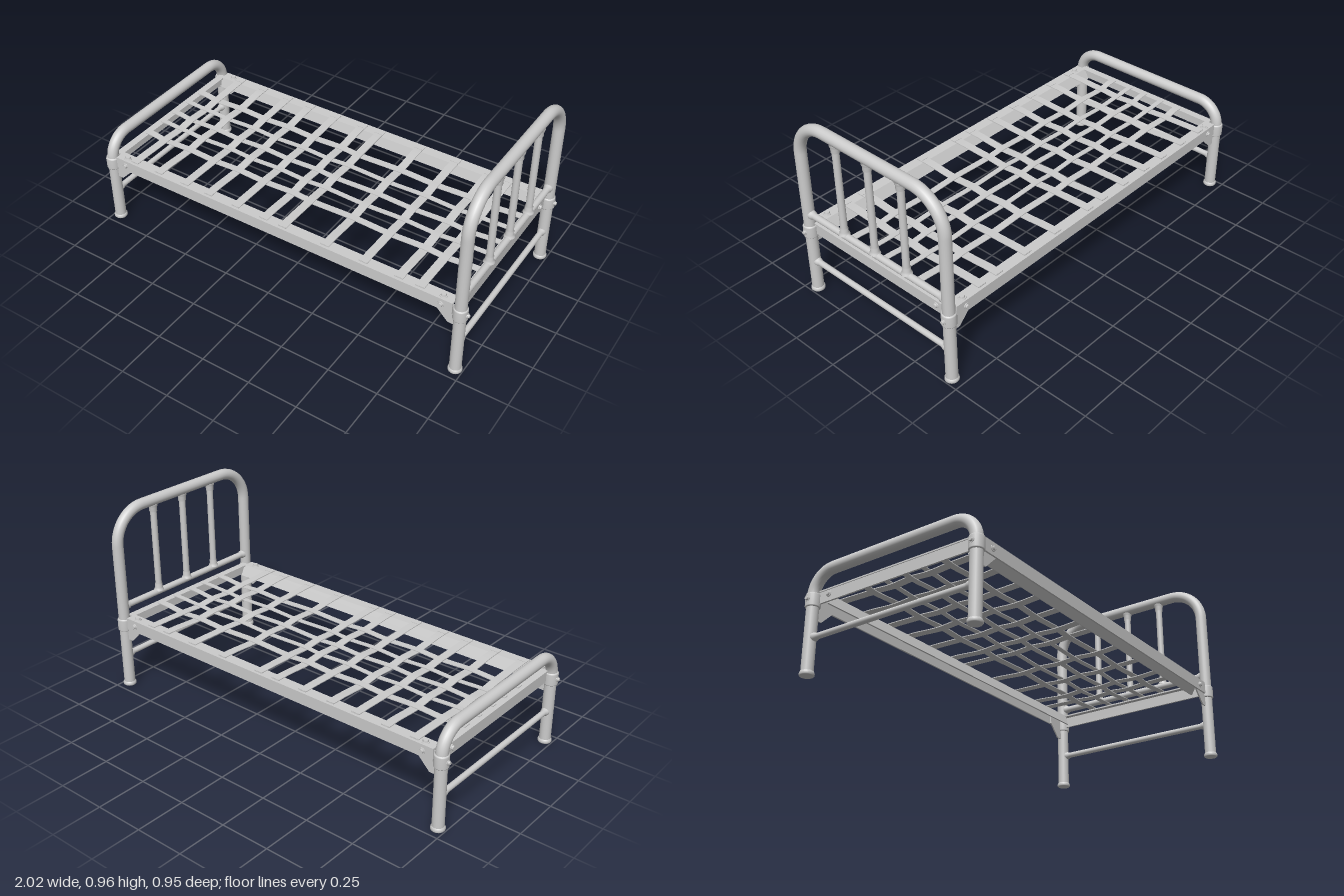
import * as THREE from 'three';

const mat = new THREE.MeshStandardMaterial({ color: 0xcccccc, side: THREE.DoubleSide });
const END_X = 0.965, POST_Z = 0.443, TUBE_R = 0.028;

function add(parent, name, geo, x = 0, y = 0, z = 0) {
  const mesh = new THREE.Mesh(geo, mat);
  mesh.name = name;
  mesh.position.set(x, y, z);
  parent.add(mesh);
  return mesh;
}

const box = (w, h, d) => new THREE.BoxGeometry(w, h, d);
const lathe = (pts, n = 24) => new THREE.LatheGeometry(pts.map(p => new THREE.Vector2(...p)), n);

// Hexagonal bolt with washer, its axis along +y before rotation
function addBolt(parent, pos, rotX, rotZ, s = 1) {
  const bolt = new THREE.Group();
  bolt.name = 'bolt';
  add(bolt, 'washer', new THREE.CylinderGeometry(0.016 * s, 0.017 * s, 0.004, 20), 0, 0.002, 0);
  add(bolt, 'boltHead', new THREE.CylinderGeometry(0.011 * s, 0.013 * s, 0.009, 6), 0, 0.008, 0);
  bolt.position.set(...pos);
  bolt.rotation.set(rotX, 0, rotZ);
  parent.add(bolt);
}

// Bent tube: two posts joined over the top with rounded corners
function hoop(top, r) {
  const path = new THREE.CurvePath(), k = r * 0.448;
  const v = (y, z) => new THREE.Vector3(0, y, z);
  const Z = POST_Z;
  path.add(new THREE.LineCurve3(v(0.005, Z), v(top - r, Z)));
  path.add(new THREE.CubicBezierCurve3(v(top - r, Z), v(top - k, Z), v(top, Z - k), v(top, Z - r)));
  path.add(new THREE.LineCurve3(v(top, Z - r), v(top, r - Z)));
  path.add(new THREE.CubicBezierCurve3(v(top, r - Z), v(top, k - Z), v(top - k, -Z), v(top - r, -Z)));
  path.add(new THREE.LineCurve3(v(top - r, -Z), v(0.005, -Z)));
  return new THREE.TubeGeometry(path, 160, TUBE_R, 20);
}

// Horizontal tube between the posts, flared where it meets them
function crossBar(r) {
  const L = POST_Z - 0.02;
  const g = lathe([[r + 0.006, -L], [r + 0.005, -L + 0.012], [r, -L + 0.025],
    [r, L - 0.025], [r + 0.005, L - 0.012], [r + 0.006, L]]);
  return g.rotateX(Math.PI / 2);
}

function endFrame(name, side, top, radius) {
  const frame = new THREE.Group();
  frame.name = name;
  add(frame, 'hoop', hoop(top, radius));
  add(frame, 'lowerBar', crossBar(0.014), 0, 0.172, 0);
  for (const s of [-1, 1]) {
    add(frame, 'footCap', lathe([[0, 0], [0.03, 0], [0.033, 0.004], [0.033, 0.013], [0.029, 0.02], [0.027, 0.021]]), 0, 0, s * POST_Z);
    add(frame, 'collar', lathe([[0.027, 0.313], [0.032, 0.315], [0.034, 0.319], [0.034, 0.371], [0.032, 0.376], [0.027, 0.378]]), 0, 0, s * POST_Z);
    addBolt(frame, [side * 0.031, 0.347, s * POST_Z], 0, -side * Math.PI / 2, 0.75);
  }
  // Angle-iron rail across the end
  add(frame, 'endRail', box(0.009, 0.06, 0.84), -side * 0.012, 0.36, 0);
  add(frame, 'endRailFlange', box(0.038, 0.007, 0.84), -side * 0.023, 0.3865, 0);
  addBolt(frame, [-side * 0.008, 0.363, -0.36], 0, -side * Math.PI / 2, 0.9);
  frame.position.x = side * END_X;
  return frame;
}

// Flat strap bent up and down along x: knots are [position, height]
function strap(knots, width) {
  const a = knots[0][0], b = knots[knots.length - 1][0];
  const g = new THREE.BoxGeometry(b - a, 0.004, width, 96, 1, 1);
  g.translate((a + b) / 2, 0, 0);
  const p = g.attributes.position;
  for (let i = 0; i < p.count; i++) {
    const x = p.getX(i);
    let j = 0;
    while (j < knots.length - 2 && x > knots[j + 1][0]) j++;
    const [x0, y0] = knots[j], [x1, y1] = knots[j + 1];
    const t = THREE.MathUtils.smoothstep(x, x0, x1);
    p.setY(i, p.getY(i) + y0 + (y1 - y0) * t);
  }
  g.computeVertexNormals();
  return g;
}

export function createModel() {
  const bed = new THREE.Group();
  bed.name = 'bed';

  // Headboard with middle bar and three spindles
  const head = endFrame('headboard', 1, 0.937, 0.17);
  add(head, 'middleBar', crossBar(0.016), 0, 0.44, 0);
  const spindle = [[0.026, 0.448], [0.023, 0.456], [0.019, 0.464], [0.019, 0.482], [0.0165, 0.486],
    [0.0165, 0.876], [0.02, 0.879], [0.02, 0.9], [0.024, 0.908], [0.025, 0.917]];
  for (const z of [-0.2, -0.003, 0.195]) add(head, 'spindle', lathe(spindle, 20), 0, 0, z);
  bed.add(head);
  bed.add(endFrame('footboard', -1, 0.479, 0.11));

  // Side rails: folded channels with a slanted inner lip
  for (const s of [-1, 1]) {
    const rail = new THREE.Group();
    rail.name = 'sideRail';
    const lip = s > 0 ? 0.372 : 0.386;
    const section = new THREE.Shape([[0.455, 0.33], [0.455, 0.39], [0.4, 0.39], [lip, 0.338],
      [lip + 0.006, 0.336], [0.405, 0.382], [0.447, 0.382], [0.447, 0.33]].map(p => new THREE.Vector2(s * p[0], p[1])));
    const g = new THREE.ExtrudeGeometry(section, { depth: 1.86, bevelEnabled: false });
    g.translate(0, 0, -0.93).rotateY(Math.PI / 2);
    g.scale(1, 1, -1);
    // Mirroring reverses the winding, so swap two corners of every triangle
    const p = g.attributes.position, n = p.count;
    for (let i = 0; i < n; i += 3) {
      const a = new THREE.Vector3().fromBufferAttribute(p, i + 1);
      const b = new THREE.Vector3().fromBufferAttribute(p, i + 2);
      p.setXYZ(i + 1, b.x, b.y, b.z);
      p.setXYZ(i + 2, a.x, a.y, a.z);
    }
    g.computeVertexNormals();
    add(rail, 'railChannel', g);
    // Corner gussets and bolts
    for (const e of [-1, 1]) {
      const gusset = new THREE.Shape([[0.95, 0.378], [0.845, 0.378], [0.845, 0.332], [0.91, 0.266], [0.95, 0.266]]
        .map(q => new THREE.Vector2(e * q[0], q[1])));
      add(rail, 'gusset', new THREE.ExtrudeGeometry(gusset, { depth: 0.007, bevelEnabled: false }), 0, 0, s * 0.4435 - 0.0035);
      addBolt(rail, [e * 0.875, 0.36, s * 0.454], s * Math.PI / 2, 0, 0.9);
      addBolt(rail, [e * 0.875, 0.389, s * 0.43], 0, 0, 1.1);
    }
    bed.add(rail);
  }

  // Woven strap mesh
  const mesh = new THREE.Group();
  mesh.name = 'strapMesh';
  const xs = [-0.825, -0.675, -0.515, -0.375, -0.215, -0.055, 0.05, 0.28, 0.48, 0.66, 0.765];
  const zs = [[-0.22, 0.036], [-0.115, 0.026], [-0.005, 0.03], [0.09, 0.026], [0.205, 0.034]];
  const mid = 0.385, amp = 0.003, over = 0.392;
  const up = (i, j) => ((i + j) % 2 ? 1 : -1);
  zs.forEach(([z, w], j) => {
    const knots = [[-0.94, over], [-0.915, over], ...xs.map((x, i) => [x, mid + amp * up(i, j)]), [0.915, over], [0.94, over]];
    add(mesh, 'longStrap', strap(knots, w), 0, 0, z);
  });
  xs.forEach((x, i) => {
    const knots = [[-0.442, over], [-0.395, over], ...zs.map(([z], j) => [z, mid - amp * up(i, j)]), [0.395, over], [0.442, over]];
    // The strap runs along z; rotating by -90 degrees maps +x to +z
    const m = add(mesh, 'crossStrap', strap(knots, 0.042), x, 0, 0);
    m.rotation.y = -Math.PI / 2;
    // Folded strap ends over the rail
    for (const s of [-1, 1]) add(mesh, 'strapFold', box(0.046, 0.004, 0.03), x, 0.394, s * 0.426);
  });
  bed.add(mesh);
  return bed;
}
